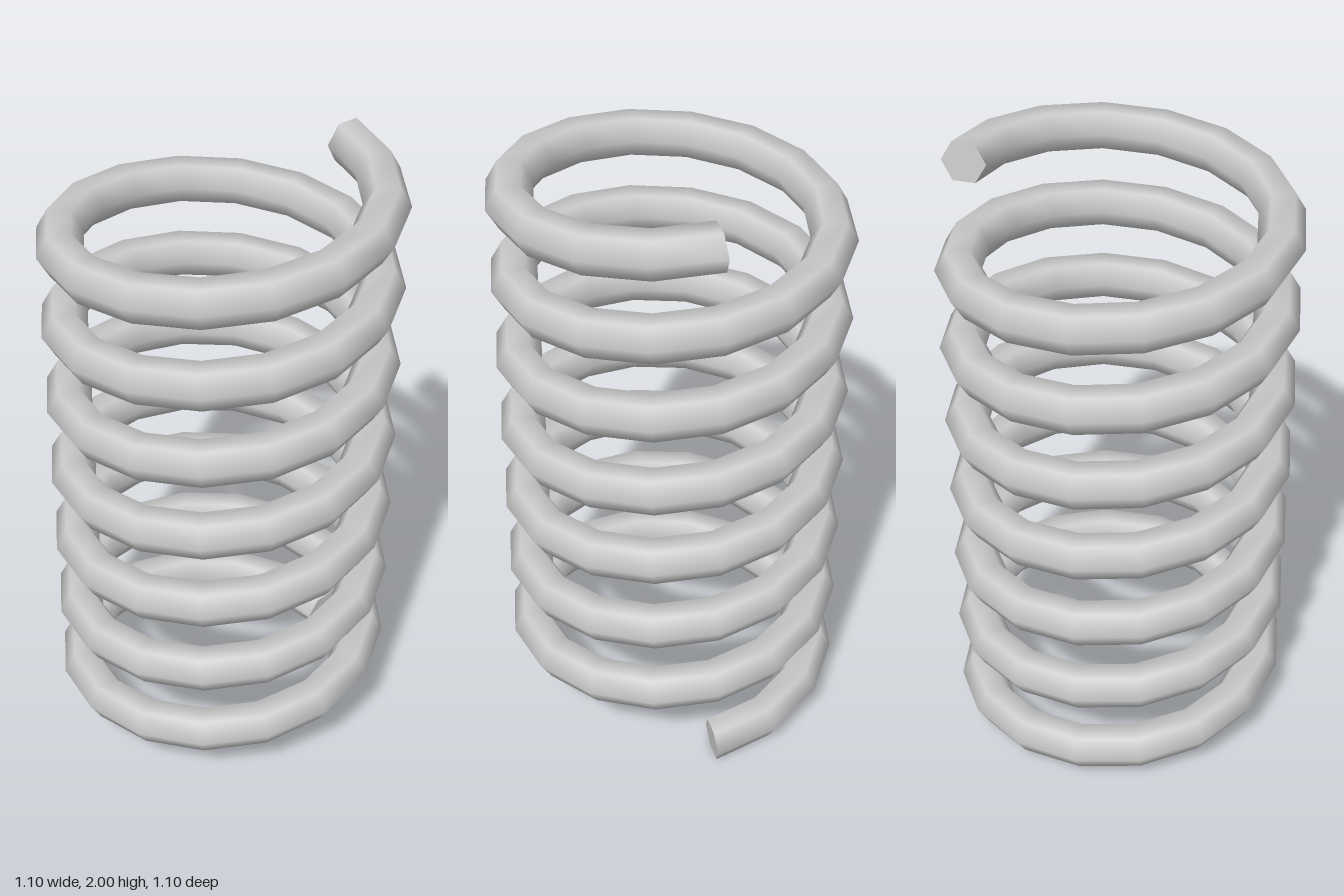
import * as THREE from 'three';

const TURNS = 7, STEPS = 16, SIDES = 6;
const COIL_RADIUS = 0.477, WIRE_RADIUS = 0.0705;
const BASE = 0.061, RISE = 2 - 2 * BASE;

// Position and axes of the wire's cross-section at step i
function frameAt(i) {
  const t = (i / STEPS) * Math.PI * 2;
  const pitch = RISE / (TURNS * Math.PI * 2);
  const out = new THREE.Vector3(Math.cos(t), 0, -Math.sin(t));
  const along = new THREE.Vector3(-COIL_RADIUS * Math.sin(t), pitch, -COIL_RADIUS * Math.cos(t)).normalize();
  const up = out.clone().cross(along);
  const centre = out.clone().multiplyScalar(COIL_RADIUS).setY(BASE + pitch * t);
  return { centre, out, up, along };
}

// Hexagonal wire swept along the helix, smooth along its length
function wireGeometry() {
  const positions = [], index = [], last = TURNS * STEPS;
  for (let i = 0; i <= last; i++) {
    const { centre, out, up } = frameAt(i);
    for (let j = 0; j < SIDES; j++) {
      const a = (j / SIDES) * Math.PI * 2;
      const p = centre.clone()
        .addScaledVector(out, WIRE_RADIUS * Math.cos(a))
        .addScaledVector(up, WIRE_RADIUS * Math.sin(a));
      positions.push(p.x, p.y, p.z);
      if (i < last) {
        const k = (j + 1) % SIDES, r = i * SIDES, n = r + SIDES;
        index.push(r + j, n + j, r + k, n + j, n + k, r + k);
      }
    }
  }
  const geometry = new THREE.BufferGeometry();
  geometry.setAttribute('position', new THREE.Float32BufferAttribute(positions, 3));
  geometry.setIndex(index);
  geometry.computeVertexNormals();
  return geometry;
}

// Flat hexagon closing one end; sign is -1 at the start, 1 at the tip
function capGeometry(i, sign) {
  const { centre, out, up, along } = frameAt(i);
  const matrix = new THREE.Matrix4()
    .makeBasis(out, up.multiplyScalar(-sign), along.multiplyScalar(sign))
    .setPosition(centre);
  return new THREE.CircleGeometry(WIRE_RADIUS, SIDES).applyMatrix4(matrix);
}

export function createModel() {
  const group = new THREE.Group();
  group.name = 'coilSpring';
  const material = new THREE.MeshStandardMaterial({ color: 0xcccccc });
  const add = (name, geometry) => {
    const mesh = new THREE.Mesh(geometry, material);
    mesh.name = name;
    group.add(mesh);
  };
  add('coilWire', wireGeometry());
  add('bottomEndCap', capGeometry(0, -1));
  add('topEndCap', capGeometry(TURNS * STEPS, 1));
  return group;
}
